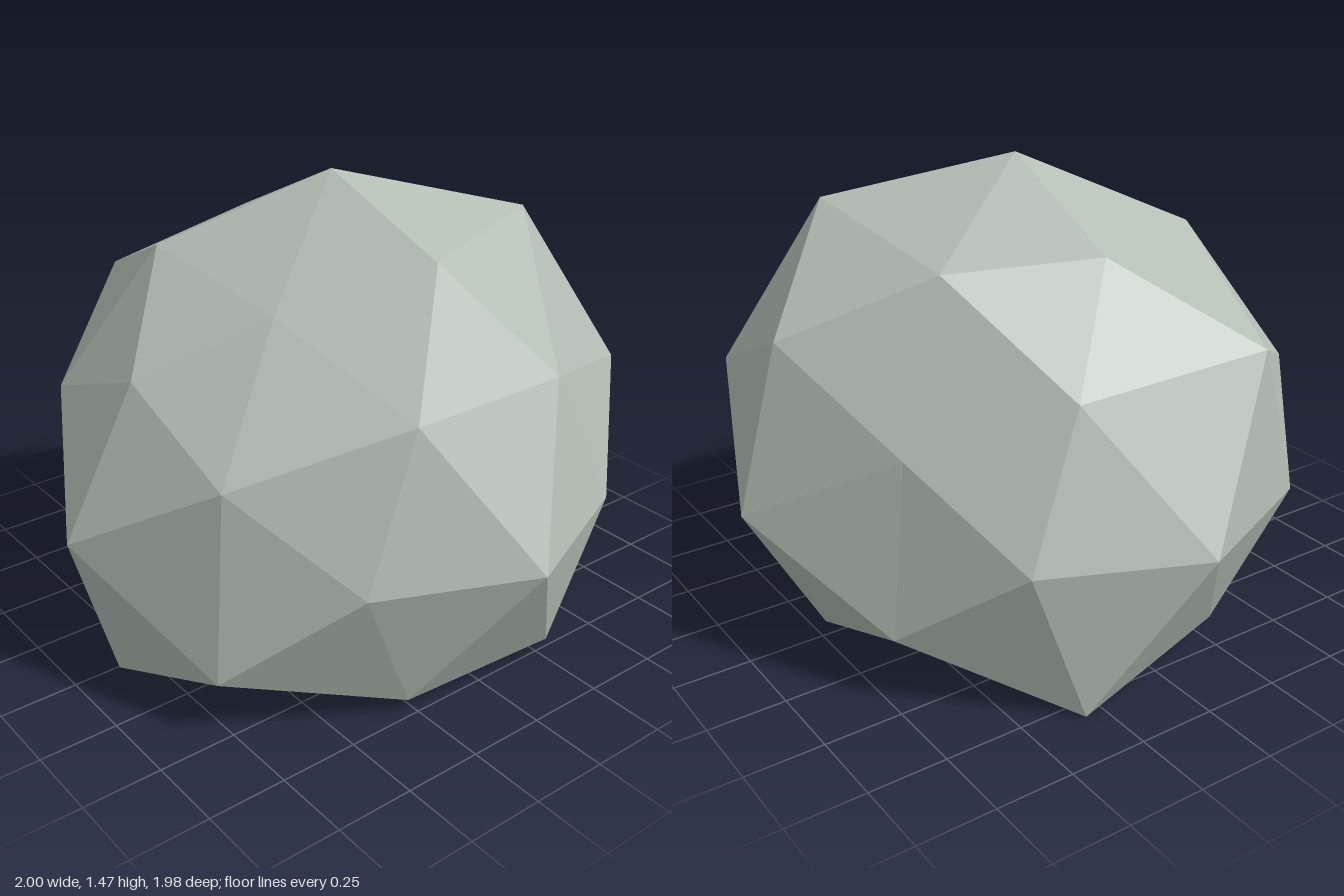
import * as THREE from 'three';

// Distance of each vertex from the core, grouped by dominant axis (x, y, z)
// and by how many coordinates are non-zero (1, 2, 3).
// Entries run through the signs of the non-zero coordinates, + before -.
const RADII = [
  { 1: [0.995, 1.005], 2: [0.92, 0.92, 0.93, 0.93],
    3: [0.93, 0.905, 0.905, 0.93, 1.017, 0.87, 0.865, 1.015] },
  { 1: [0.97, 0.97], 2: [0.94, 0.95, 0.88, 0.92],
    3: [0.81, 1.03, 1.0, 0.82, 0.92, 0.9, 0.92, 0.92] },
  { 1: [0.988, 0.988], 2: [0.87, 0.995, 0.995, 0.863],
    3: [0.91, 0.985, 0.985, 0.9, 0.915, 0.82, 0.835, 0.912] },
];
const CORE = new THREE.Vector3(0.005, 0.5, 0);

function radiusFor(direction) {
  const c = direction.toArray();
  const size = c.map(Math.abs);
  const axis = size.indexOf(Math.max(...size));
  const solid = c.filter((v) => Math.abs(v) > 0.01);
  const index = solid.reduce((n, v) => n * 2 + (v < 0 ? 1 : 0), 0);
  return RADII[axis][solid.length][index];
}

export function createModel() {
  const group = new THREE.Group();
  group.name = 'rock';

  const stone = new THREE.MeshStandardMaterial({ color: 0xb2bdb4 });
  stone.name = 'paleGreyGreenStone';
  stone.flatShading = true;

  // Faceted boulder: uneven icosphere pressed flat where it meets the ground
  const geometry = new THREE.IcosahedronGeometry(1, 1);
  const position = geometry.attributes.position;
  const v = new THREE.Vector3();
  for (let i = 0; i < position.count; i++) {
    v.fromBufferAttribute(position, i).normalize();
    v.multiplyScalar(radiusFor(v)).add(CORE);
    position.setXYZ(i, v.x, Math.max(0, v.y), v.z);
  }
  geometry.computeVertexNormals();

  const boulder = new THREE.Mesh(geometry, stone);
  boulder.name = 'boulder';
  group.add(boulder);
  return group;
}
